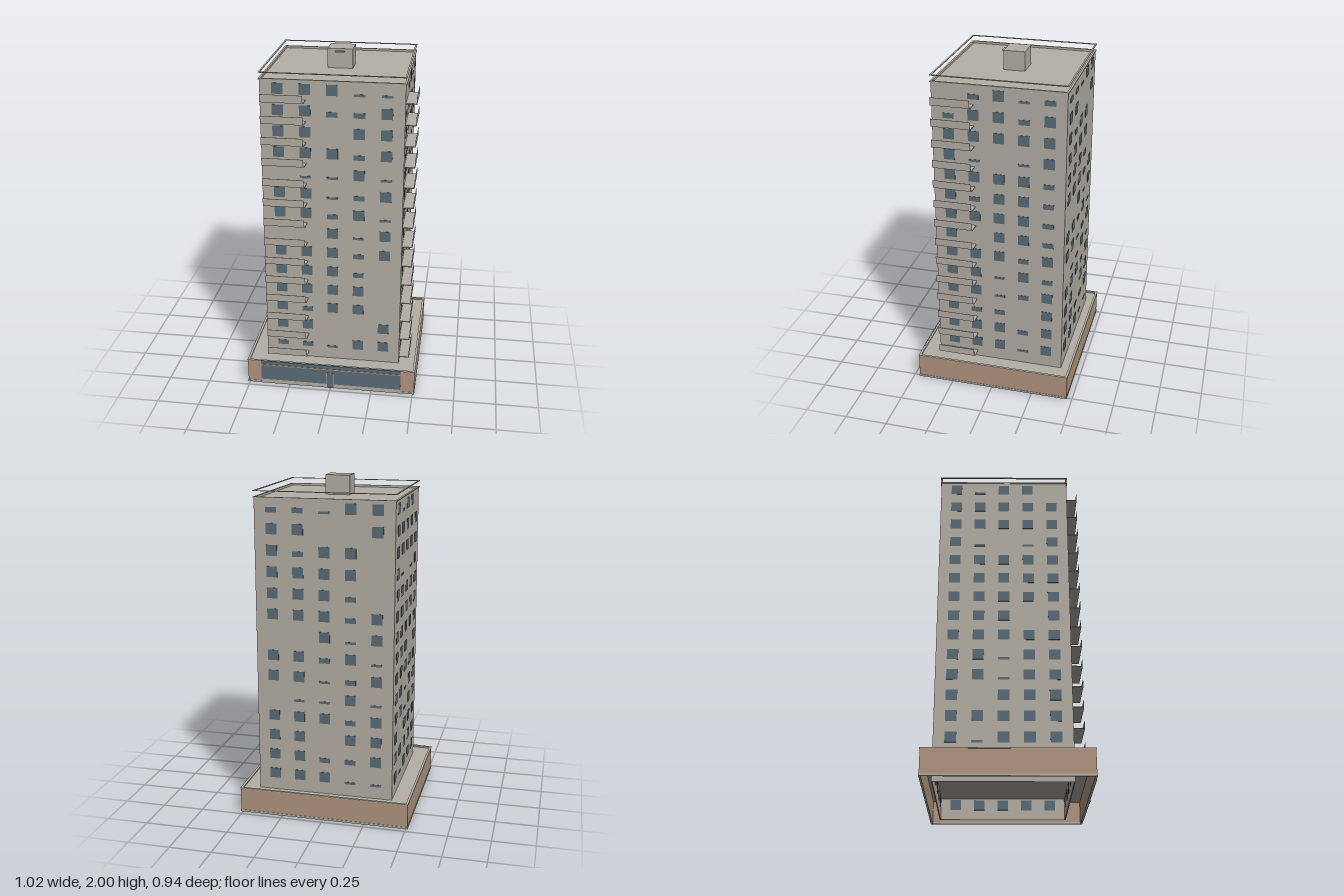
import * as THREE from 'three';

const mat = (name, color) => {
  const m = new THREE.MeshStandardMaterial({ color, side: THREE.DoubleSide });
  m.name = name;
  return m;
};

export function createModel() {
  const concrete = mat('concrete', 0xb5b0a6);
  const brick = mat('brick', 0xb2967e);
  const glass = mat('glass', 0x5a6c78);

  const model = new THREE.Group();
  model.name = 'towerBlock';

  // Box from its min and max on each axis
  const box = (parent, name, m, x0, x1, y0, y1, z0, z1) => {
    const mesh = new THREE.Mesh(new THREE.BoxGeometry(x1 - x0, y1 - y0, z1 - z0), m);
    mesh.position.set((x0 + x1) / 2, (y0 + y1) / 2, (z0 + z1) / 2);
    mesh.name = name;
    parent.add(mesh);
    return mesh;
  };

  // Rectangular ring extruded upwards
  const ring = (name, m, x0, x1, z0, z1, t, y0, y1) => {
    const rect = (C, a, b, c, d) => {
      const p = new C();
      p.moveTo(a, -d); p.lineTo(b, -d); p.lineTo(b, -c); p.lineTo(a, -c); p.closePath();
      return p;
    };
    const s = rect(THREE.Shape, x0, x1, z0, z1);
    s.holes.push(rect(THREE.Path, x0 + t, x1 - t, z0 + t, z1 - t));
    const g = new THREE.ExtrudeGeometry(s, { depth: y1 - y0, bevelEnabled: false });
    g.rotateX(-Math.PI / 2);
    const mesh = new THREE.Mesh(g, m);
    mesh.position.y = y0;
    mesh.name = name;
    model.add(mesh);
  };

  // Tower: hollow shell, lowest floor, roof, parapet edge and thin rail
  const X = 0.405, Z0 = -0.408, Z1 = 0.358, zc = (Z0 + Z1) / 2;
  ring('towerWalls', concrete, -X, X, Z0, Z1, 0.006, 0, 1.9);
  box(model, 'lowestFloor', concrete, -X + 0.006, X - 0.006, 0.13, 0.14, Z0 + 0.006, Z1 - 0.006);
  box(model, 'roof', concrete, -X + 0.006, X - 0.006, 1.875, 1.887, Z0 + 0.006, Z1 - 0.006);
  ring('roofEdge', concrete, -0.41, 0.41, -0.413, 0.363, 0.012, 1.894, 1.9);
  ring('roofRail', concrete, -0.41, 0.41, -0.413, 0.363, 0.01, 1.931, 1.935);

  // Stair house on the roof with a small canopy
  box(model, 'stairHouse', concrete, -0.073, 0.073, 1.88, 2, -0.09, 0.035);
  box(model, 'stairCanopy', concrete, -0.027, 0.027, 1.983, 1.988, 0.035, 0.057);

  // Windows: one string per floor from the top, 3 = open, 2 = half blind, 1 = nearly closed
  const frontRows = ['33311', '33223', '33033', '33323', '01131', '33123', '33231',
    '00313', '33323', '33320', '33330', '32330', '33003', '22133', '33333'];
  const sideRows = ['02312', '23323', '33333', '31013', '33332', '32332', '33332',
    '30332', '33323', '33132', '33123', '32203', '33323', '33313', '33333'];
  const leftRows = sideRows.map((r) => [...r].reverse().join('').replace(/2/g, '3'));
  const heights = [0, 0.014, 0.03, 0.062];
  const facade = (name, rows, pitch, x, z, turn) => {
    const g = new THREE.Group();
    g.name = name;
    g.position.set(x, 0, z);
    g.rotation.y = turn;
    rows.forEach((row, i) => [...row].forEach((c, j) => {
      const h = heights[+c];
      if (!h) return;
      const u = (j - 2) * pitch, y = (i < 14 ? 1.846 - i * 0.1228 : 0.09) - 0.031;
      // The ground row also shows on the inside of the shell
      box(g, 'window', glass, u - 0.032, u + 0.032, y, y + h, i < 14 ? -0.002 : -0.008, 0.002);
    }));
    model.add(g);
  };
  facade('frontWindows', frontRows, 0.153, 0, Z1, 0);
  facade('backWindows', [...frontRows].reverse().map((r, i, a) => a[(i + 1) % 15]),
    0.153, 0, Z0, Math.PI);
  facade('rightWindows', sideRows, 0.144, X, zc, Math.PI / 2);
  facade('leftWindows', leftRows, 0.144, -X, zc, -Math.PI / 2);

  // Balconies: thin slab with a front panel and open ends
  for (let i = 0; i < 14; i++) {
    const y = 0.18 + i * 0.1232;
    box(model, 'frontBalconySlab', concrete, -0.393, -0.148, y, y + 0.005, Z1, 0.42);
    box(model, 'frontBalconyPanel', concrete, -0.393, -0.155, y, y + 0.045, 0.418, 0.42);
    box(model, 'sideBalconySlab', concrete, X, 0.466, y, y + 0.005, 0.115, 0.346);
    box(model, 'sideBalconyPanel', concrete, 0.464, 0.466, y, y + 0.045, 0.122, 0.346);
  }

  // Podium: hollow brick base with concrete roof, coping and plinth
  ring('podiumWalls', brick, -0.51, 0.51, -0.467, 0.465, 0.01, 0.012, 0.15);
  ring('podiumPlinth', concrete, -0.512, 0.512, -0.469, 0.467, 0.012, 0, 0.012);
  ring('podiumCoping', concrete, -0.512, 0.512, -0.469, 0.467, 0.014, 0.15, 0.155);
  ring('podiumRoof', concrete, -0.5, 0.5, -0.457, 0.455, 0.1, 0.138, 0.145);

  // Shop front: glazing, transom, sill and door
  box(model, 'shopGlass', glass, -0.427, 0.427, 0.026, 0.156, 0.463, 0.469);
  box(model, 'shopSill', concrete, -0.427, 0.427, 0, 0.026, 0.463, 0.469);
  box(model, 'shopTransom', brick, -0.427, 0.427, 0.125, 0.132, 0.469, 0.471);
  box(model, 'door', glass, -0.022, 0.022, 0, 0.1, 0.467, 0.471);
  for (const s of [-1, 1]) {
    box(model, 'doorPost', concrete, s * 0.022 - 0.002, s * 0.022 + 0.002, 0, 0.104, 0.467, 0.473);
  }
  box(model, 'doorHead', concrete, -0.024, 0.024, 0.1, 0.104, 0.467, 0.473);

  return model;
}
